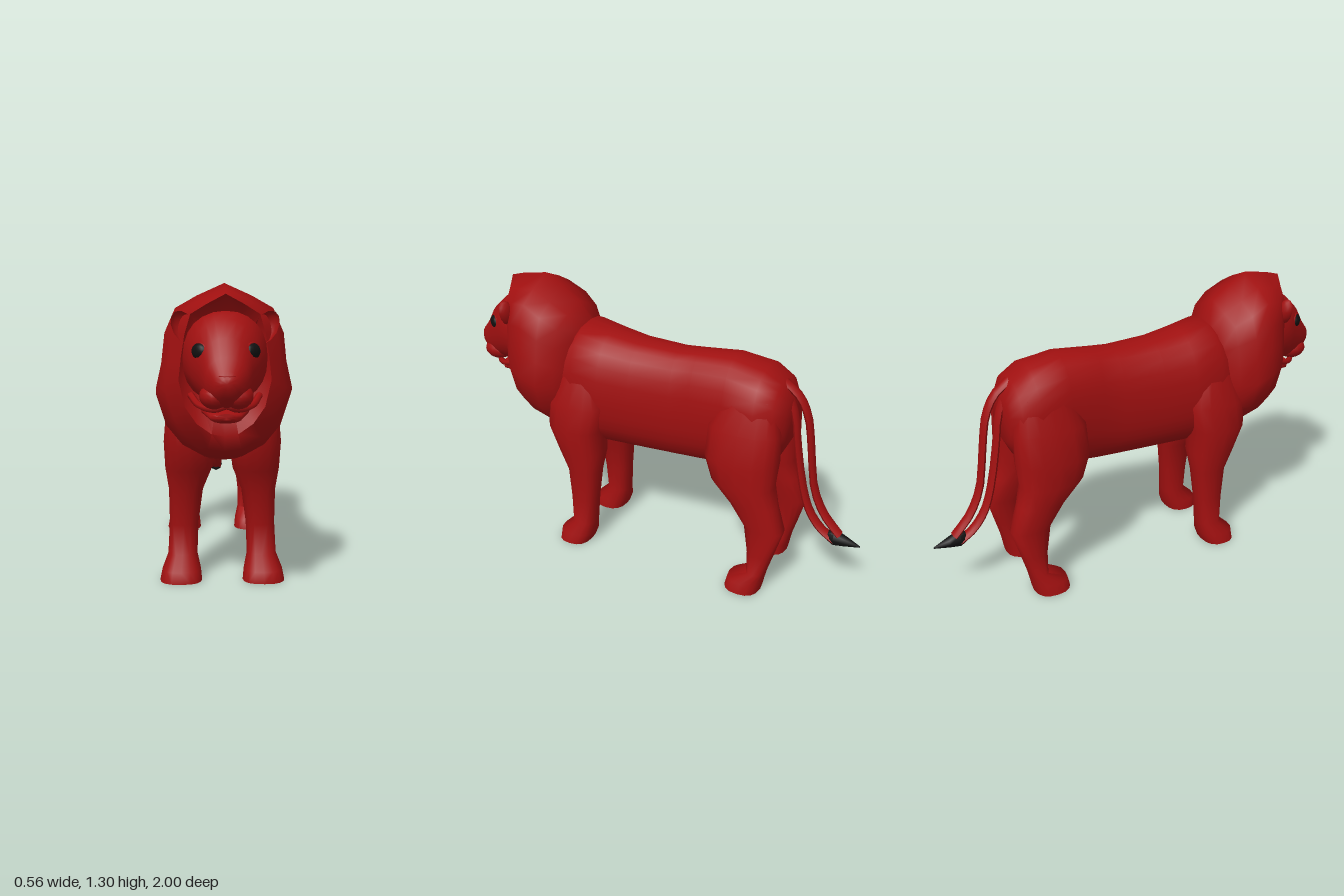
import * as THREE from 'three';
import { toCreasedNormals } from 'three/addons/utils/BufferGeometryUtils.js';

const red = new THREE.MeshStandardMaterial({ color: 0xa01010, side: THREE.DoubleSide });
const black = new THREE.MeshStandardMaterial({ color: 0x111111 });

// Skin a list of closed rings (equal point counts) and cap both ends
function loft(rings, crease = 1.0) {
  const n = rings[0].length, pos = [], idx = [];
  rings.forEach(r => r.forEach(p => pos.push(...p)));
  for (let i = 0; i < rings.length - 1; i++) {
    for (let j = 0; j < n; j++) {
      const k = (j + 1) % n, a = i * n + j, b = i * n + k, c = a + n, d = b + n;
      idx.push(a, b, d, a, d, c);
    }
  }
  [0, rings.length - 1].forEach((ri, end) => {
    const r = rings[ri], centre = pos.length / 3;
    pos.push(...[0, 1, 2].map(k => r.reduce((s, p) => s + p[k], 0) / n));
    for (let j = 0; j < n; j++) {
      const a = ri * n + j, b = ri * n + (j + 1) % n;
      if (end === 0) idx.push(centre, b, a); else idx.push(centre, a, b);
    }
  });
  // Signed volume tells whether the faces point outwards
  let volume = 0;
  const v = i => new THREE.Vector3().fromArray(pos, i * 3);
  for (let i = 0; i < idx.length; i += 3) volume += v(idx[i]).dot(v(idx[i + 1]).cross(v(idx[i + 2])));
  if (volume < 0) idx.reverse();
  const g = new THREE.BufferGeometry();
  g.setAttribute('position', new THREE.Float32BufferAttribute(pos, 3));
  g.setIndex(idx);
  return toCreasedNormals(g, crease);
}

// Rounded-off ellipse sampled as unit [c, s] pairs
function oval(n, e) {
  const f = t => Math.sign(t) * Math.pow(Math.abs(t), e);
  return Array.from({ length: n }, (_, i) => {
    const a = (i / n) * Math.PI * 2;
    return [f(Math.cos(a)), f(Math.sin(a))];
  });
}

// Rows of [z, top, bottom, halfWidth]
const alongZ = (rows, n = 20, e = 0.85) => loft(rows.map(([z, t, b, w]) =>
  oval(n, e).map(([c, s]) => [c * w, (t + b) / 2 + s * (t - b) / 2, z])));

// Rows of [y, xInner, xOuter, zBack, zFront], mirrored by side
const alongY = (rows, side) => loft(rows.map(([y, xi, xo, zb, zf]) =>
  oval(16, 0.8).map(([c, s]) => [side * ((xi + xo) / 2 + c * (xo - xi) / 2), y, (zb + zf) / 2 + s * (zf - zb) / 2])));

export function createModel() {
  const lion = new THREE.Group();
  lion.name = 'lion';
  const add = (name, geometry, material = red, parent = lion) => {
    const m = new THREE.Mesh(geometry, material);
    m.name = name;
    parent.add(m);
    return m;
  };

  // Torso from chest to rump
  add('torso', alongZ([
    [0.55, 0.85, 0.60, 0.12], [0.50, 1.00, 0.56, 0.18], [0.38, 1.11, 0.54, 0.21],
    [0.25, 1.085, 0.52, 0.20], [0.10, 1.065, 0.52, 0.175], [-0.10, 1.06, 0.525, 0.157],
    [-0.20, 1.07, 0.53, 0.152], [-0.37, 1.085, 0.55, 0.178], [-0.52, 1.06, 0.58, 0.195],
    [-0.60, 1.01, 0.64, 0.17], [-0.64, 0.94, 0.72, 0.11]], 24));

  // Legs with paws
  for (const [side, label] of [[1, 'left'], [-1, 'right']]) {
    add(label + 'FrontLeg', alongY([
      [0.90, 0.08, 0.195, 0.28, 0.46], [0.75, 0.06, 0.245, 0.22, 0.52], [0.62, 0.03, 0.255, 0.25, 0.525],
      [0.50, 0.045, 0.25, 0.245, 0.47], [0.40, 0.085, 0.235, 0.26, 0.425], [0.25, 0.105, 0.232, 0.275, 0.41],
      [0.11, 0.11, 0.24, 0.285, 0.40], [0.05, 0.095, 0.265, 0.29, 0.465], [0, 0.09, 0.275, 0.31, 0.47]], side));
    add(label + 'HindLeg', alongY([
      [0.95, 0.05, 0.165, -0.60, -0.36], [0.80, 0.04, 0.22, -0.635, -0.30], [0.65, 0.03, 0.238, -0.635, -0.29],
      [0.54, 0.05, 0.238, -0.625, -0.33], [0.45, 0.07, 0.23, -0.645, -0.42], [0.33, 0.095, 0.215, -0.687, -0.50],
      [0.20, 0.11, 0.22, -0.65, -0.525], [0.10, 0.11, 0.23, -0.62, -0.53], [0.05, 0.095, 0.255, -0.61, -0.44],
      [0, 0.09, 0.265, -0.60, -0.43]], side));
  }

  // Mane: one ridged silhouette scaled along z; the front leans forward at the top
  const half = [[0, 1], [0.11, 0.93], [0.205, 0.86], [0.24, 0.72], [0.262, 0.56], [0.277, 0.4],
    [0.24, 0.21], [0.17, 0.09], [0.08, 0.015], [0, 0]];
  const outline = [...half, ...half.slice(1, -1).reverse().map(([x, t]) => [-x, t])];
  // [z, top, bottom, widthScale, extra z at the crown]
  const maneRows = [[0.40, 1.10, 0.66, 0.6, -0.03], [0.46, 1.19, 0.59, 0.85, -0.02], [0.53, 1.25, 0.57, 1, 0],
    [0.62, 1.30, 0.595, 0.98, 0], [0.69, 1.28, 0.63, 0.86, 0.05], [0.74, 1.26, 0.70, 0.66, 0.07],
    [0.69, 1.19, 0.78, 0.5, 0.03]];
  add('mane', loft(maneRows.map(([z, top, bottom, w, lean], i) => outline.map(([x, t], j) => {
    const lock = 1 + (i > 0 && i < 5 ? 0.02 * Math.cos(j * Math.PI + i) : 0);
    return [x * w * lock, bottom + t * (top - bottom), z + lean * t * t * (1 - Math.abs(x) / 0.3)];
  })), 1.2));

  // Head
  const head = new THREE.Group();
  head.name = 'head';
  lion.add(head);
  add('skull', alongZ([
    [0.55, 1.15, 0.85, 0.16], [0.70, 1.19, 0.83, 0.172], [0.78, 1.195, 0.84, 0.16], [0.83, 1.165, 0.835, 0.138],
    [0.90, 1.10, 0.83, 0.10], [0.94, 1.03, 0.845, 0.08], [0.98, 0.98, 0.88, 0.05], [1.0, 0.955, 0.915, 0.025]],
  24, 0.9), red, head);
  add('lowerJaw', alongZ([
    [0.64, 0.87, 0.75, 0.10], [0.78, 0.835, 0.785, 0.095], [0.86, 0.815, 0.77, 0.062], [0.885, 0.81, 0.785, 0.035]],
  16), red, head);
  const lip = new THREE.CatmullRomCurve3([[-0.135, 0.865, 0.74], [-0.10, 0.835, 0.83], [-0.04, 0.83, 0.895],
    [0, 0.845, 0.91], [0.04, 0.83, 0.895], [0.10, 0.835, 0.83], [0.135, 0.865, 0.74]]
    .map(p => new THREE.Vector3(...p)));
  add('upperLip', new THREE.TubeGeometry(lip, 24, 0.014, 6), red, head);
  add('nose', loft([[0.985, 0.965, 0.038], [0.99, 0.94, 0.034], [0.98, 0.90, 0.008]].map(([z, y, w]) =>
    oval(10, 1).map(([c, s]) => [c * w, y, z - 0.012 + s * 0.022])) ), red, head);

  for (const [side, label] of [[1, 'left'], [-1, 'right']]) {
    const cheek = add(label + 'Muzzle', new THREE.SphereGeometry(1, 14, 10), red, head);
    cheek.scale.set(0.058, 0.05, 0.07);
    cheek.position.set(side * 0.045, 0.88, 0.895);

    // Cupped ear, open to the front
    const ear = add(label + 'Ear', new THREE.SphereGeometry(1, 12, 6, 0, Math.PI * 2, 0, Math.PI / 2)
      .rotateX(-Math.PI / 2), red, head);
    ear.scale.set(0.045, 0.07, 0.04);
    ear.position.set(side * 0.16, 1.13, 0.75);
    ear.rotation.z = -side * 0.5;

    // Eye with its lid rim
    const eye = new THREE.Group();
    eye.name = label + 'Eye';
    eye.position.set(side * 0.1, 1.045, 0.862);
    eye.rotation.y = side * 0.85;
    head.add(eye);
    add(label + 'Eyeball', new THREE.SphereGeometry(1, 16, 10), black, eye).scale.set(0.04, 0.032, 0.022);
    add(label + 'Eyelid', new THREE.TorusGeometry(0.036, 0.005, 6, 20), red, eye).scale.set(1.08, 0.9, 1);
  }

  // Tail: two flat strands, each swept along a [y, z] path
  const strand = path => {
    const curve = new THREE.CatmullRomCurve3(path.map(([y, z]) => new THREE.Vector3(0, y, z)));
    const steps = 14;
    return loft(Array.from({ length: steps + 1 }, (_, i) => {
      const p = curve.getPoint(i / steps), t = curve.getTangent(i / steps);
      return oval(8, 1).map(([c, s]) => [c * 0.029, p.y - s * t.z * 0.015, p.z + s * t.y * 0.015]);
    }));
  };
  add('tailOuterStrand', strand([[1.0, -0.59], [0.94, -0.665], [0.85, -0.71], [0.7, -0.735], [0.5, -0.765],
    [0.38, -0.82], [0.29, -0.90]]));
  add('tailInnerStrand', strand([[0.98, -0.60], [0.85, -0.65], [0.7, -0.672], [0.5, -0.71], [0.38, -0.75],
    [0.3, -0.81], [0.255, -0.88]]));
  add('tailTuft', alongZ([[-0.85, 0.30, 0.245, 0.02], [-0.88, 0.31, 0.232, 0.034], [-0.93, 0.288, 0.24, 0.024],
    [-1.0, 0.258, 0.252, 0.003]], 8, 1), black);

  return lion;
}
